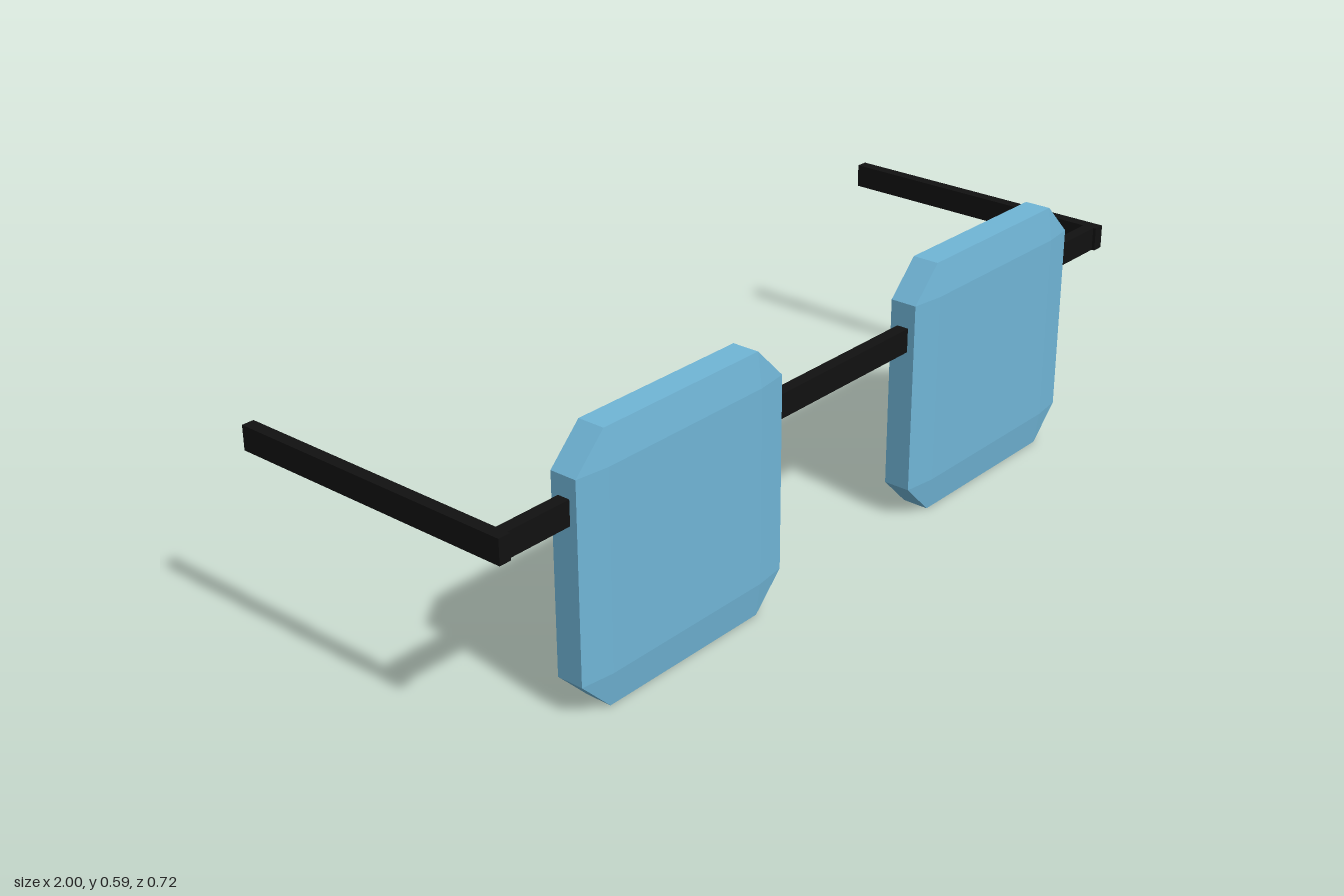
import * as THREE from 'three';
import { ConvexGeometry } from 'three/addons/geometries/ConvexGeometry.js';

const lensMaterial = new THREE.MeshStandardMaterial({ color: 0x70b5d6, flatShading: true });
const frameMaterial = new THREE.MeshStandardMaterial({ color: 0x111111, flatShading: true });

// Square block with cut corners, its front and back borders sloping to a thinner rim
function lensGeometry() {
  const outer = 0.295, inner = 0.219, rimZ = 0.031, faceZ = 0.041;
  const points = [];
  for (const sx of [-1, 1]) for (const sy of [-1, 1]) for (const sz of [-1, 1]) {
    points.push(
      new THREE.Vector3(sx * inner, sy * inner, sz * faceZ),
      new THREE.Vector3(sx * outer, sy * inner, sz * rimZ),
      new THREE.Vector3(sx * inner, sy * outer, sz * rimZ));
  }
  return new ConvexGeometry(points);
}

function addBar(group, name, size, position) {
  const bar = new THREE.Mesh(new THREE.BoxGeometry(...size), frameMaterial);
  bar.name = name;
  bar.position.set(...position);
  group.add(bar);
}

export function createModel() {
  const group = new THREE.Group();
  group.name = 'glasses';
  const lensShape = lensGeometry();
  const frontZ = 0.319;

  // Bridge between the lenses
  addBar(group, 'bridge', [0.56, 0.055, 0.028], [0, 0.432, frontZ]);

  for (const [side, s] of [['left', 1], ['right', -1]]) {
    const lens = new THREE.Mesh(lensShape, lensMaterial);
    lens.name = side + 'Lens';
    lens.position.set(s * 0.52, 0.296, frontZ);
    group.add(lens);

    // Short end piece and the temple arm running back from it
    addBar(group, side + 'EndPiece', [0.215, 0.055, 0.028], [s * 0.882, 0.443, frontZ]);
    addBar(group, side + 'Temple', [0.028, 0.055, 0.7], [s * 0.986, 0.443, -0.01]);
  }
  return group;
}
